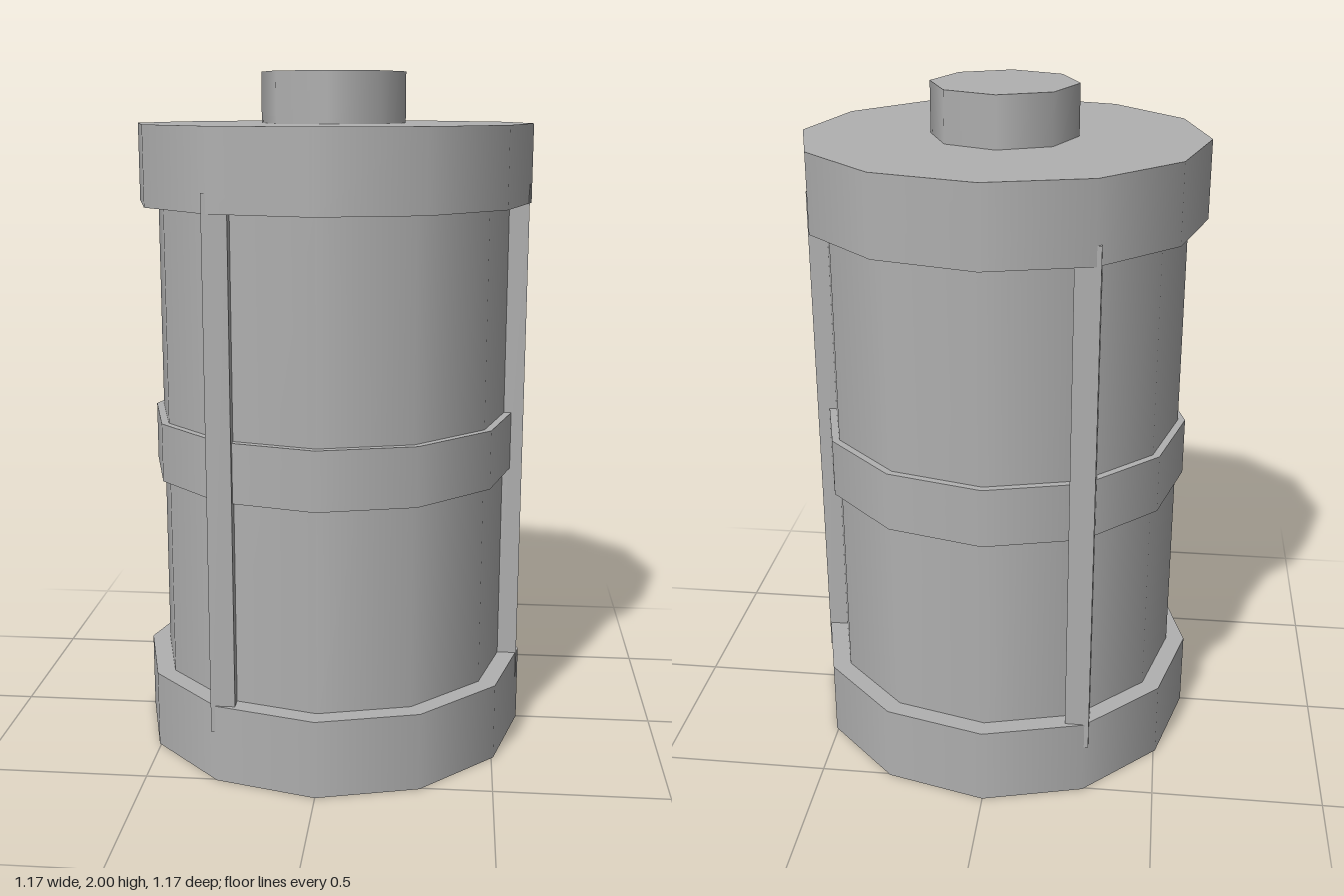
import * as THREE from 'three';

export function createModel() {
  const model = new THREE.Group();
  const grey = new THREE.MeshStandardMaterial({ color: 0xb0b0b0 });
  grey.name = 'grey';

  const add = (name, geometry, x, y, z) => {
    const mesh = new THREE.Mesh(geometry, grey);
    mesh.name = name;
    mesh.position.set(x, y, z);
    model.add(mesh);
  };

  // Upright drum between two heights
  const drum = (name, radius, y0, y1, sides = 12) =>
    add(name, new THREE.CylinderGeometry(radius, radius, y1 - y0, sides), 0, (y0 + y1) / 2, 0);

  drum('baseCap', 0.584, 0, 0.23);
  drum('body', 0.528, 0.2, 1.65);
  drum('middleBand', 0.55, 0.827, 1.0);
  drum('topCap', 0.584, 1.625, 1.853);
  drum('topKnob', 0.212, 1.84, 2, 8);

  // Three upright bars, all square to the axes, let into the caps
  for (let i = 0; i < 3; i++) {
    const a = (i * Math.PI * 2) / 3;
    add('sideBar' + (i + 1), new THREE.BoxGeometry(0.07, 1.53, 0.07),
      Math.cos(a) * 0.542, 0.915, Math.sin(a) * 0.542);
  }

  return model;
}
